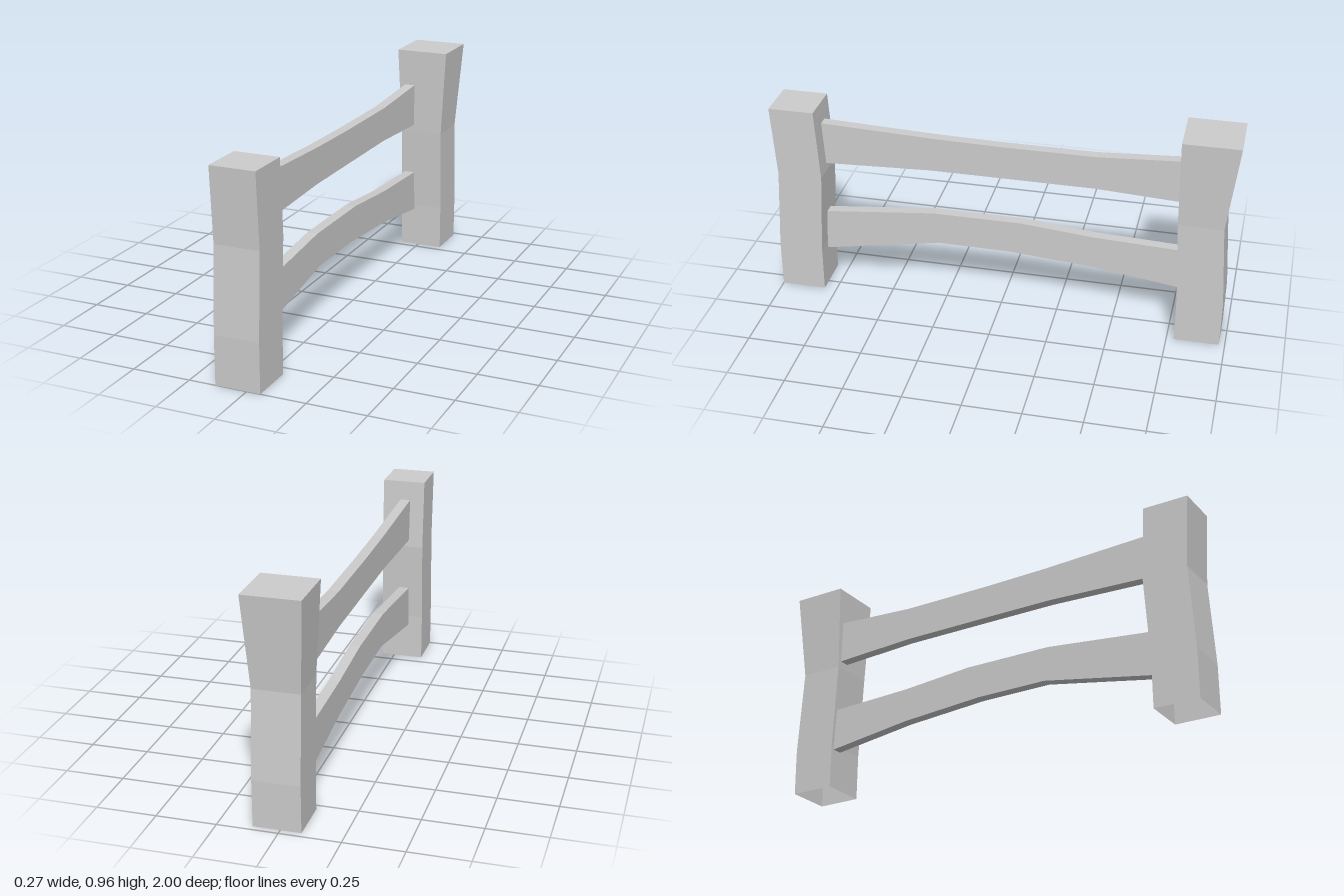
import * as THREE from 'three';

const material = new THREE.MeshStandardMaterial({ color: 0xcccccc, flatShading: true, side: THREE.DoubleSide });

// Square post, open underneath; each level is [y, xMin, xMax, zMin, zMax]
function makePost(name, levels) {
  const n = levels.length - 1;
  const geo = new THREE.BoxGeometry(1, 1, 1, 1, n, 1);
  const pos = geo.attributes.position;
  for (let i = 0; i < pos.count; i++) {
    const [y, x0, x1, z0, z1] = levels[Math.round((pos.getY(i) + 0.5) * n)];
    pos.setXYZ(i, pos.getX(i) < 0 ? x0 : x1, y, pos.getZ(i) < 0 ? z0 : z1);
  }
  // Leave out the bottom face
  const bottom = geo.groups[3];
  const index = Array.from(geo.index.array);
  index.splice(bottom.start, bottom.count);
  geo.setIndex(index);
  geo.clearGroups();
  const flat = geo.toNonIndexed();
  flat.computeVertexNormals();
  const mesh = new THREE.Mesh(flat, material);
  mesh.name = name;
  return mesh;
}

// Thin bent plank running along z; upper and lower edges are [z, y] points
function makeRail(name, upper, lower) {
  const outline = [...upper, ...lower.slice().reverse()].map(([z, y]) => new THREE.Vector2(z, y));
  const geo = new THREE.ExtrudeGeometry(new THREE.Shape(outline), { depth: 0.046, bevelEnabled: false });
  geo.rotateY(-Math.PI / 2);
  geo.translate(-0.023, 0, 0);
  const mesh = new THREE.Mesh(geo, material);
  mesh.name = name;
  return mesh;
}

export function createModel() {
  const fence = new THREE.Group();
  fence.name = 'fence';

  fence.add(makePost('frontPost', [
    [0, -0.135, 0.058, 0.805, 1],
    [0.21, -0.135, 0.058, 0.805, 1],
    [0.57, -0.135, 0.058, 0.785, 0.98],
    [0.883, -0.135, 0.058, 0.803, 1],
  ]));
  fence.add(makePost('backPost', [
    [0, -0.085, 0.111, -0.975, -0.782],
    [0.2, -0.085, 0.111, -0.978, -0.782],
    [0.57, -0.085, 0.111, -0.955, -0.765],
    [0.957, -0.105, 0.132, -1, -0.76],
  ]));

  fence.add(makeRail('upperRail',
    [[0.805, 0.796], [0.3, 0.777], [0, 0.772], [-0.4, 0.772], [-0.78, 0.795]],
    [[0.805, 0.602], [0.32, 0.622], [0, 0.622], [-0.4, 0.621], [-0.78, 0.601]]));
  fence.add(makeRail('lowerRail',
    [[0.81, 0.356], [0.31, 0.408], [-0.08, 0.408], [-0.4, 0.38], [-0.79, 0.364]],
    [[0.81, 0.165], [0.29, 0.26], [-0.03, 0.258], [-0.4, 0.23], [-0.79, 0.176]]));

  return fence;
}
